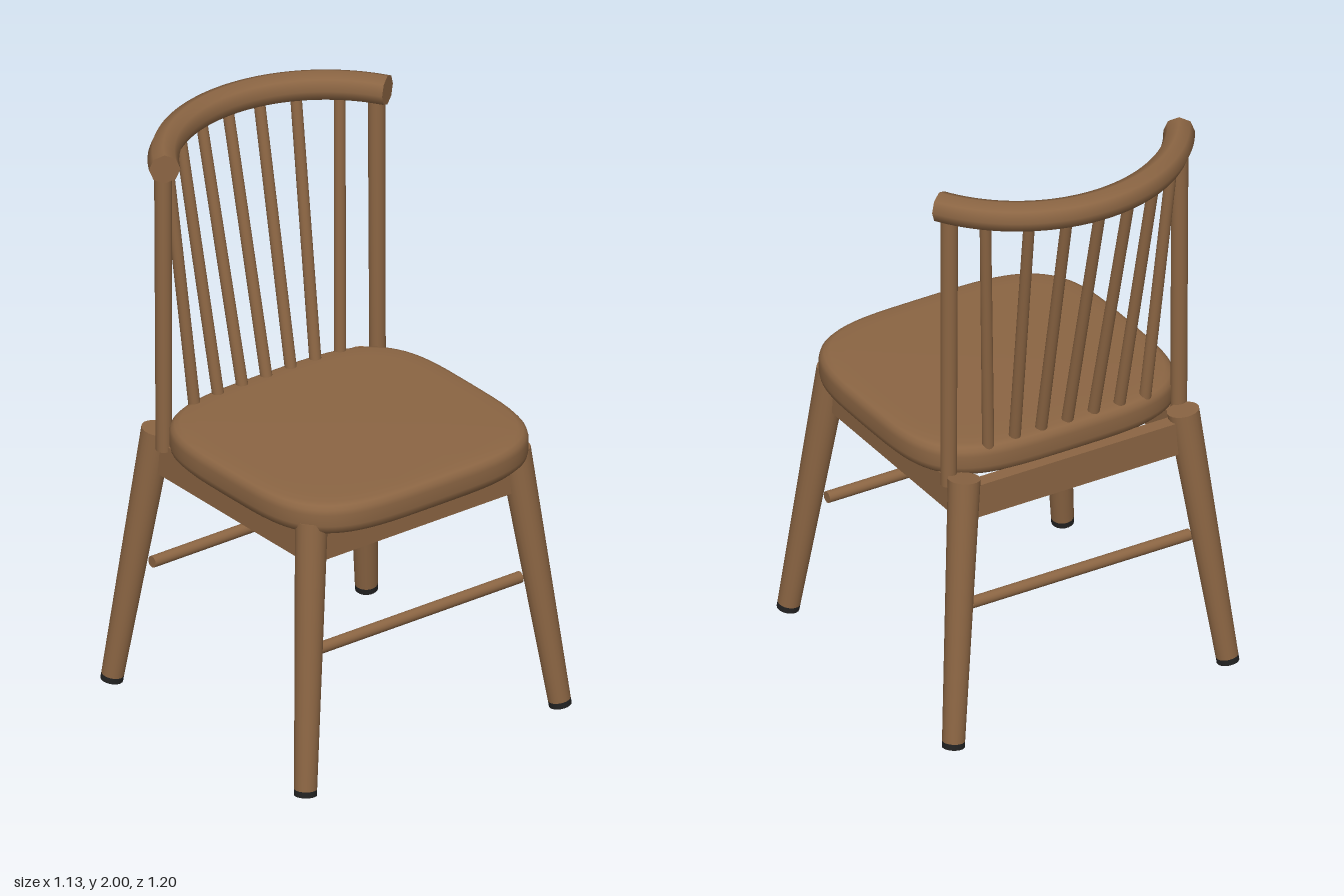
import * as THREE from 'three';

const wood = new THREE.MeshStandardMaterial({ color: 0x8b6543 });
wood.name = 'brownWood';
const rubber = new THREE.MeshStandardMaterial({ color: 0x222222 });
rubber.name = 'blackRubber';

const LEG_Z = 0.0425; // middle of the leg layout along z

function add(parent, name, geometry, material = wood) {
  const mesh = new THREE.Mesh(geometry, material);
  mesh.name = name;
  parent.add(mesh);
  return mesh;
}

// Round rod from point a (radius ra) to point b (radius rb)
function rod(parent, name, a, b, ra, rb, material = wood) {
  const dir = b.clone().sub(a);
  const mesh = add(parent, name, new THREE.CylinderGeometry(rb, ra, dir.length(), 20), material);
  mesh.position.copy(a).add(b).multiplyScalar(0.5);
  mesh.quaternion.setFromUnitVectors(new THREE.Vector3(0, 1, 0), dir.normalize());
  return mesh;
}

// Cushion-edged slab made of stacked superellipse loops
function seatGeometry() {
  const N = 80, halfX = 0.516, halfZ = 0.483, centreZ = 0.112;
  // [inset, y] from the underside to the top
  const profile = [
    [0.2, 0.905], [0.04, 0.905], [0.018, 0.911], [0.004, 0.926], [0, 0.945], [0, 0.985],
    [0.004, 1.002], [0.014, 1.014], [0.03, 1.02], [0.08, 1.023], [0.25, 1.025],
  ];
  const pos = [], index = [];
  const power = (v) => Math.sign(v) * Math.pow(Math.abs(v), 2 / 3.8);
  for (const [inset, y] of profile) {
    for (let i = 0; i < N; i++) {
      const t = (i / N) * Math.PI * 2;
      pos.push((halfX - inset) * power(Math.cos(t)), y, centreZ + (halfZ - inset) * power(Math.sin(t)));
    }
  }
  for (let r = 0; r < profile.length - 1; r++) {
    for (let i = 0; i < N; i++) {
      const a = r * N + i, b = r * N + (i + 1) % N;
      index.push(a, a + N, b, b, a + N, b + N);
    }
  }
  const bottom = pos.length / 3, top = bottom + 1, last = (profile.length - 1) * N;
  pos.push(0, 0.905, centreZ, 0, 1.025, centreZ);
  for (let i = 0; i < N; i++) {
    const j = (i + 1) % N;
    index.push(bottom, i, j, top, last + j, last + i);
  }
  const g = new THREE.BufferGeometry();
  g.setAttribute('position', new THREE.Float32BufferAttribute(pos, 3));
  g.setIndex(index);
  g.computeVertexNormals();
  return g;
}

// Plan arc shared by the crest rail and the spindle tops
const ARC_R = 0.532, ARC_Z = -0.013;
const arcPoint = (x, y) => new THREE.Vector3(x, y, ARC_Z - Math.sqrt(ARC_R * ARC_R - x * x));

function crestRail(parent) {
  const r = 0.052, y = 1.948, points = [];
  for (let i = 0; i <= 24; i++) points.push(arcPoint(ARC_R * Math.sin((i / 12 - 1) * Math.PI / 3), y));
  const curve = new THREE.CatmullRomCurve3(points);
  add(parent, 'crestRail', new THREE.TubeGeometry(curve, 48, r, 8));
  for (const end of [0, 1]) {
    const cap = add(parent, 'crestRailEnd', new THREE.CircleGeometry(r, 8));
    const p = curve.getPointAt(end);
    cap.position.copy(p);
    cap.lookAt(p.add(curve.getTangentAt(end).multiplyScalar(end ? 1 : -1)));
  }
}

export function createModel() {
  const chair = new THREE.Group();
  chair.name = 'chair';
  const V = (x, y, z) => new THREE.Vector3(x, y, z);

  add(chair, 'seat', seatGeometry());

  // Splayed tapered legs with dark feet
  for (const sx of [-1, 1]) {
    for (const sz of [-1, 1]) {
      const top = V(sx * 0.42, 0.942, LEG_Z + sz * 0.413);
      const foot = V(sx * 0.527, 0.006, LEG_Z + sz * 0.52);
      const joint = foot.clone().lerp(top, 0.022);
      rod(chair, 'leg', joint, top, 0.038, 0.054);
      rod(chair, 'footCap', foot, joint, 0.038, 0.038, rubber);
    }
  }

  // Apron boards between the legs
  for (const s of [-1, 1]) {
    add(chair, s > 0 ? 'frontApron' : 'backApron', new THREE.BoxGeometry(0.84, 0.12, 0.05))
      .position.set(0, 0.855, LEG_Z + s * 0.415);
    add(chair, 'sideApron', new THREE.BoxGeometry(0.05, 0.12, 0.83))
      .position.set(s * 0.42, 0.855, LEG_Z);
  }

  // Front and back stretchers
  for (const s of [-1, 1]) {
    const z = LEG_Z + s * 0.41;
    rod(chair, 'stretcher', V(-0.445, 0.457, z), V(0.445, 0.457, z), 0.02, 0.02);
  }

  // Back posts
  for (const s of [-1, 1]) {
    rod(chair, 'backPost', V(s * 0.442, 0.897, -0.308), V(s * 0.442, 1.94, -0.313), 0.027, 0.029);
  }

  // Fanned spindles
  for (let i = -3; i <= 3; i++) {
    rod(chair, 'spindle', V(i * 0.1, 0.99, -0.325), arcPoint(i * 0.12, 1.945), 0.02, 0.019);
  }

  crestRail(chair);
  return chair;
}
